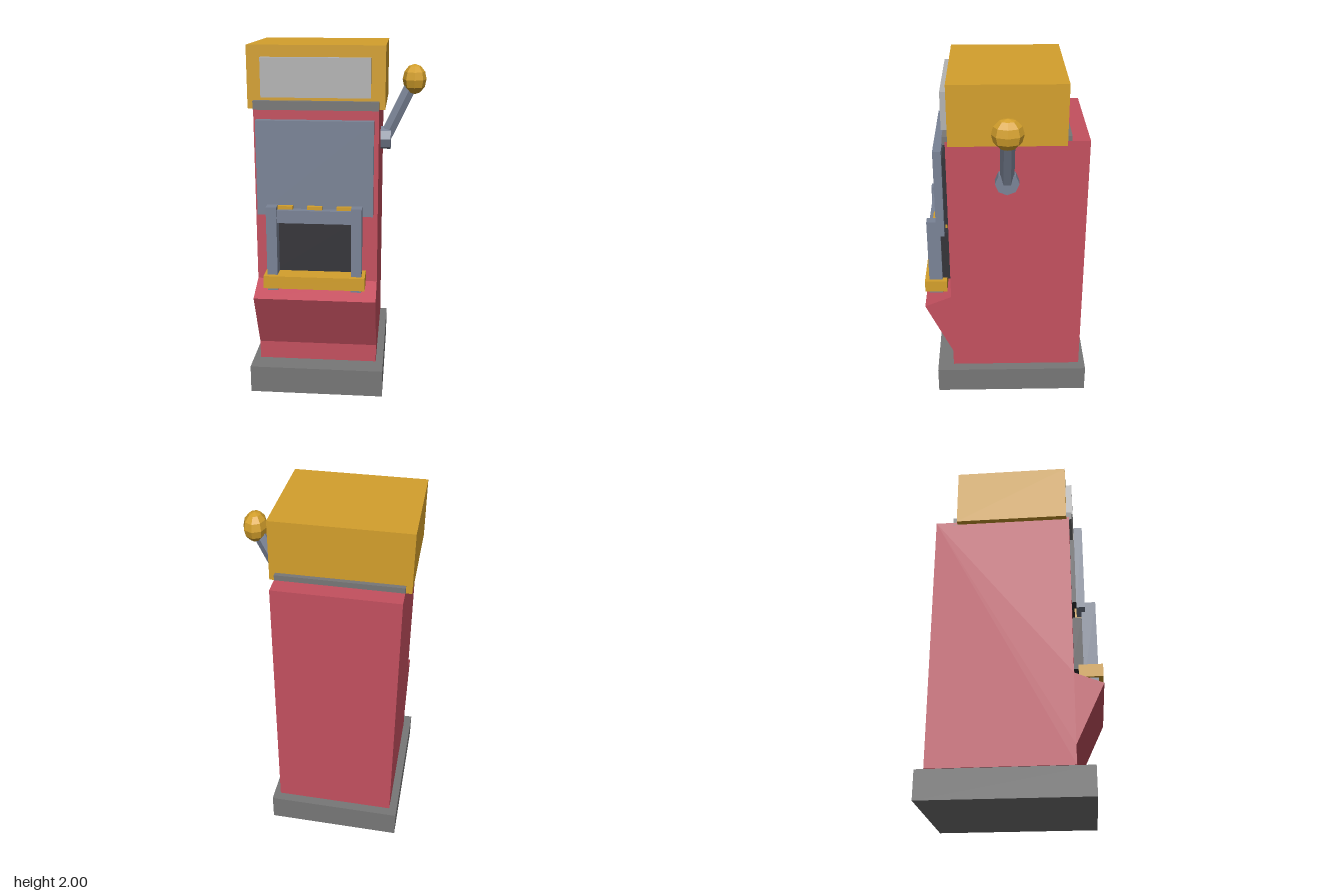
import * as THREE from 'three';

const paint = (color) => new THREE.MeshStandardMaterial({ color, flatShading: true });

export function createModel() {
  const model = new THREE.Group();
  model.name = 'slotMachine';
  const red = paint(0xc4505f), gold = paint(0xd4a02c), steel = paint(0x7a8396);
  const dark = paint(0x353439), grey = paint(0x777777), pale = paint(0xb3b3b3);

  const add = (name, geometry, material) => {
    const mesh = new THREE.Mesh(geometry, material);
    mesh.name = name;
    model.add(mesh);
    return mesh;
  };
  // Box given by its extents on each axis
  const box = (name, material, [x0, x1], [y0, y1], [z0, z1]) =>
    add(name, new THREE.BoxGeometry(x1 - x0, y1 - y0, z1 - z0), material)
      .position.set((x0 + x1) / 2, (y0 + y1) / 2, (z0 + z1) / 2);

  // Plinth
  box('base', grey, [-0.494, 0.277], [0, 0.16], [-0.49, 0.43]);

  // Cabinet: side profile (z, y) with the jutting coin shelf, extruded across x
  const profile = new THREE.Shape([
    [-0.45, 0.175], [0.333, 0.175], [0.333, 0.28], [0.49, 0.615],
    [0.333, 0.68], [0.333, 1.675], [-0.45, 1.675],
  ].map(([z, y]) => new THREE.Vector2(-z, y)));
  const cabinet = new THREE.ExtrudeGeometry(profile, { depth: 0.685, bevelEnabled: false });
  cabinet.rotateY(Math.PI / 2).translate(-0.45, 0, 0);
  add('cabinet', cabinet, red);

  // Head with sign
  box('headTrim', grey, [-0.45, 0.235], [1.657, 1.705], [-0.35, 0.348]);
  box('head', gold, [-0.483, 0.267], [1.66, 2], [-0.324, 0.318]);
  box('signPanel', pale, [-0.404, 0.19], [1.725, 1.937], [0.3, 0.354]);

  // Upper display
  box('displayBacking', dark, [-0.385, 0.17], [1.14, 1.555], [0.32, 0.362]);
  box('displayPanel', steel, [-0.428, 0.211], [1.083, 1.608], [0.358, 0.405]);

  // Lower window, its frame and the tray
  box('window', dark, [-0.35, 0.13], [0.745, 1.06], [0.32, 0.386]);
  for (const x of [-0.372, 0.095])
    box('framePost', steel, [x, x + 0.058], [0.66, 1.142], [0.385, 0.464]);
  box('frameBar', steel, [-0.314, 0.095], [1.05, 1.122], [0.385, 0.45]);
  for (const x of [-0.312, -0.15, 0.014])
    box('button', gold, [x, x + 0.084], [1.075, 1.141], [0.347, 0.428]);
  box('tray', gold, [-0.39, 0.173], [0.68, 0.752], [0.358, 0.49]);

  // Lever: hub, slanted arm and knob
  const hub = new THREE.CylinderGeometry(0.067, 0.067, 0.07, 8).rotateZ(Math.PI / 2);
  add('leverHub', hub, steel).position.set(0.259, 1.451, 0);
  const from = new THREE.Vector3(0.264, 1.46, 0), to = new THREE.Vector3(0.421, 1.79, 0);
  const dir = to.clone().sub(from);
  const arm = add('leverArm', new THREE.CylinderGeometry(0.04, 0.04, dir.length(), 6), steel);
  arm.position.copy(from).lerp(to, 0.5);
  arm.quaternion.setFromUnitVectors(new THREE.Vector3(0, 1, 0), dir.normalize());
  const knob = add('leverKnob', new THREE.SphereGeometry(0.086, 8, 6), gold);
  knob.scale.x = 0.79;
  knob.position.set(0.423, 1.791, 0);

  return model;
}
